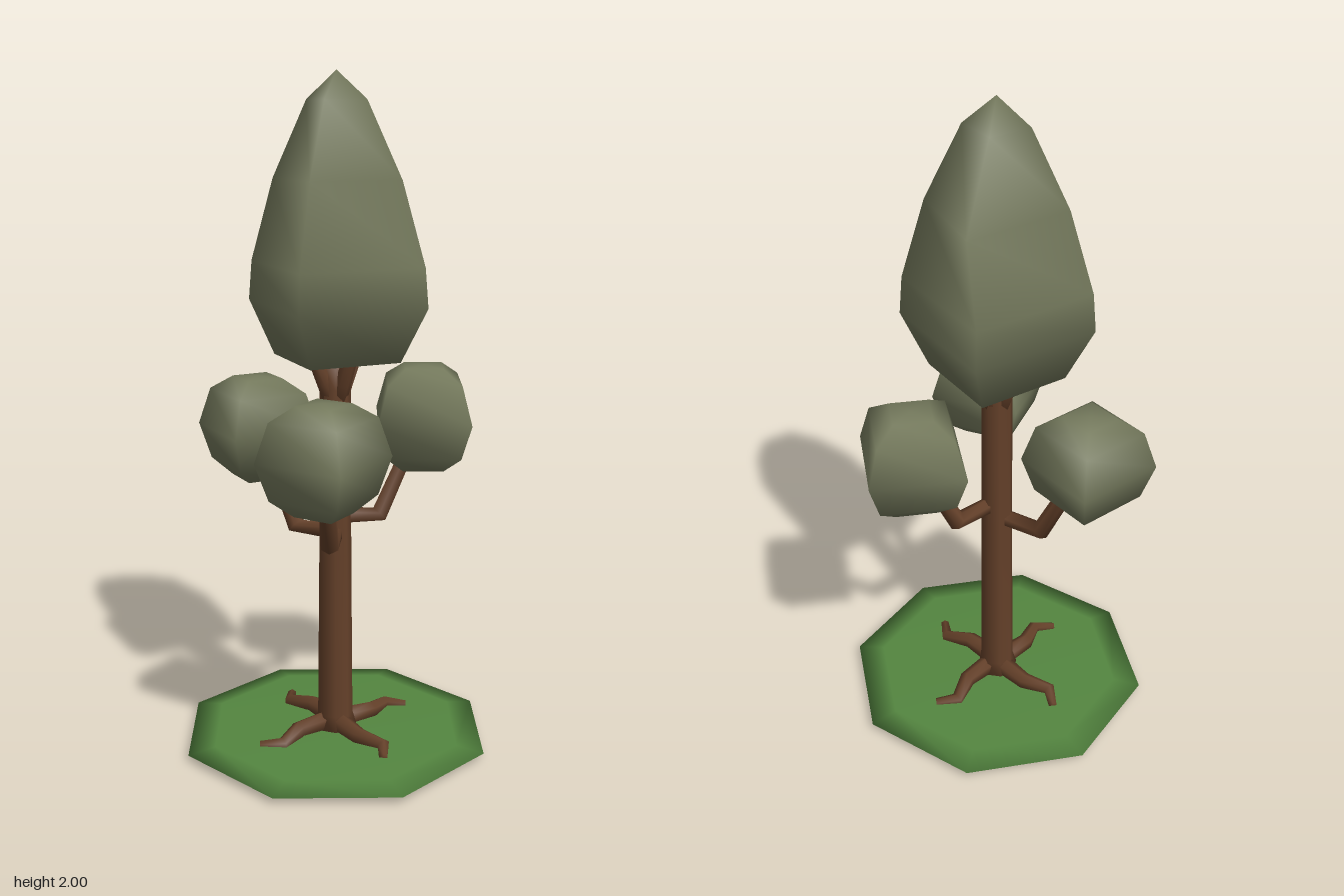
import * as THREE from 'three';
import { mergeVertices } from 'three/addons/utils/BufferGeometryUtils.js';

const material = (name, color) => {
  const m = new THREE.MeshStandardMaterial({ color });
  m.name = name;
  return m;
};

// Weld seams and shade smoothly
function smooth(geometry) {
  geometry.deleteAttribute('uv');
  geometry.deleteAttribute('normal');
  const welded = mergeVertices(geometry, 1e-4);
  welded.computeVertexNormals();
  return welded;
}

// Few-sided turned form; profile is [radius, y] from bottom to top
const turned = (profile, sides, phase = 0) =>
  new THREE.LatheGeometry(profile.map(([r, y]) => new THREE.Vector2(r, y)), sides, phase);

// Tapered bent limb through [x, y, z, radius] points, with closed ends
function limb(path, sides = 6) {
  const pts = path.map(p => new THREE.Vector3(p[0], p[1], p[2]));
  const last = path.length - 1;
  const up = new THREE.Vector3(0, 1, 0);
  const pos = [], index = [];
  const ring = (i, radius) => {
    const tangent = pts[Math.min(i + 1, last)].clone().sub(pts[Math.max(i - 1, 0)]).normalize();
    const side = up.clone().cross(tangent).normalize();
    const top = tangent.clone().cross(side);
    for (let k = 0; k < sides; k++) {
      const a = (k + 0.5) / sides * Math.PI * 2;
      const v = pts[i].clone()
        .addScaledVector(side, Math.cos(a) * radius)
        .addScaledVector(top, Math.sin(a) * radius);
      pos.push(v.x, v.y, v.z);
    }
  };
  ring(0, 0);
  path.forEach((p, i) => ring(i, p[3]));
  ring(last, 0);
  for (let i = 0; i < path.length + 1; i++) {
    for (let k = 0; k < sides; k++) {
      const a = i * sides + k, b = i * sides + (k + 1) % sides;
      index.push(a, b, a + sides, b, b + sides, a + sides);
    }
  }
  const g = new THREE.BufferGeometry();
  g.setAttribute('position', new THREE.Float32BufferAttribute(pos, 3));
  g.setIndex(index);
  return smooth(g);
}

export function createModel() {
  const leaf = material('foliage', 0x757a5d);
  const bark = material('bark', 0x644029);
  const grass = material('grass', 0x548640);
  const tree = new THREE.Group();
  tree.name = 'tree';

  const add = (name, geometry, mat) => {
    const mesh = new THREE.Mesh(geometry, mat);
    mesh.name = name;
    tree.add(mesh);
    return mesh;
  };

  // Octagonal patch of grass
  add('ground', smooth(turned(
    [[0, 0.005], [0.39, 0.005], [0.475, 0.024], [0.39, 0.036], [0, 0.036]], 8)), grass);

  // Trunk with a slightly wider foot
  add('trunk', smooth(turned(
    [[0, 0.02], [0.07, 0.02], [0.053, 0.08], [0.048, 0.6], [0.046, 1.1], [0.05, 1.17], [0, 1.17]],
    8, Math.PI / 8)), bark);

  // Four crooked roots in a pinwheel
  for (let i = 0; i < 4; i++) {
    const root = add('root', limb([
      [0, 0.055, 0.02, 0.032], [0.02, 0.05, 0.13, 0.026],
      [0.07, 0.038, 0.2, 0.022], [0.04, 0.034, 0.262, 0.014]]), bark);
    root.rotation.y = i * Math.PI / 2;
  }

  // Short forks holding the crown
  for (let i = 0; i < 4; i++) {
    const fork = add('fork', limb([
      [0, 1.06, 0.015, 0.025], [0, 1.12, 0.04, 0.024], [0, 1.21, 0.08, 0.022]]), bark);
    fork.rotation.y = i * Math.PI / 2 + 0.2;
  }

  // Bent side branches
  [
    [[0.02, 0.71, 0], [0.145, 0.697, 0], [0.25, 0.91, 0]],
    [[-0.01, 0.665, 0.02], [-0.073, 0.665, 0.13], [-0.125, 0.9, 0.22]],
    [[-0.01, 0.66, -0.02], [-0.073, 0.65, -0.13], [-0.125, 0.87, -0.22]],
  ].forEach(path => add('branch',
    limb(path.map((p, i) => [...p, [0.026, 0.029, 0.023][i]])), bark));

  // Square, rounded leaf clusters: centre and direction of one corner
  const cluster = [[0, -0.16], [0.085, -0.157], [0.155, -0.108], [0.195, 0],
    [0.155, 0.113], [0.08, 0.156], [0, 0.16]];
  [
    [0.29, 0.987, -0.003, -21],
    [-0.142, 0.957, 0.25, 100],
    [-0.15, 0.942, -0.25, -50],
  ].forEach(([x, y, z, corner]) => {
    const phase = THREE.MathUtils.degToRad(90 - corner);
    add('leafCluster', smooth(turned(cluster, 4, phase)), leaf).position.set(x, y, z);
  });

  // Tall square crown, with one corner swelling out
  const d = Math.SQRT2;
  const crown = turned([[0, 1.165], [0.14 * d, 1.185], [0.197 * d, 1.345], [0.19 * d, 1.46],
    [0.14 * d, 1.7], [0.065 * d, 1.92], [0, 2]], 4, Math.PI / 4);
  const p = crown.attributes.position;
  for (let i = 0; i < p.count; i++) {
    if (Math.abs(p.getY(i) - 1.7) < 0.01 && p.getX(i) > 0.05 && p.getZ(i) < -0.05) p.setX(i, 0.185);
  }
  add('crown', smooth(crown), leaf).position.set(0.008, 0, -0.01);

  return tree;
}
